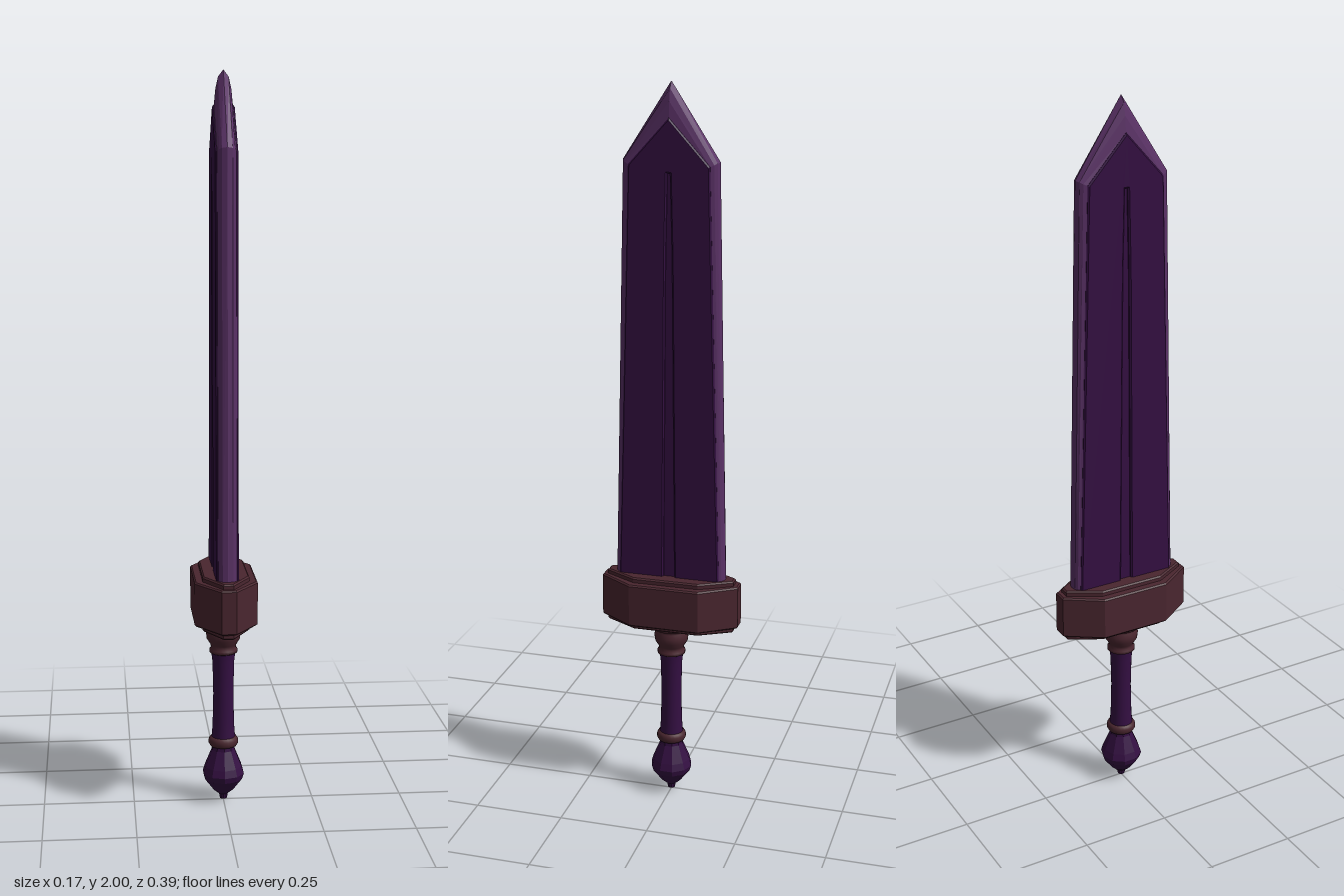
import * as THREE from 'three';

export function createModel() {
  const root = new THREE.Group();
  root.name = 'greatsword';
  const mat = (name, color, extra = {}) => {
    const m = new THREE.MeshStandardMaterial({ color, ...extra });
    m.name = name;
    return m;
  };
  const core = mat('dark purple', 0x340f42);
  const edge = mat('light purple', 0x5a3166, { side: THREE.DoubleSide });
  const bronze = mat('maroon bronze', 0x4a262f);
  const add = (name, geo, material, parent = root) => {
    const m = new THREE.Mesh(geo, material);
    m.name = name;
    parent.add(m);
    return m;
  };
  const shapeOf = (pts) => new THREE.Shape(pts.map(([a, b]) => new THREE.Vector2(a, b)));

  // Blade outlines as [z, y], from base up to the tip and down again
  const both = (half) => [...half, ...half.slice(0, -1).reverse().map(([z, y]) => [-z, y])];
  const outer = both([[0.156, 0.64], [0.13, 1.8], [0, 2]]);
  const inner = both([[0.142, 0.64], [0.109, 1.79], [0, 1.91]]);

  const blade = new THREE.Group();
  blade.name = 'blade';
  root.add(blade);

  // Sharpened rim: strips from the inner outline over a rounded shoulder to the outer one
  const steps = [[0, 0.025], [0.45, 0.021], [0.8, 0.014], [1, 0]];
  const section = [...steps, ...steps.slice(0, -1).reverse().map(([t, x]) => [t, -x])];
  const pos = [];
  for (let i = 0; i < outer.length - 1; i++) {
    for (let j = 0; j < section.length - 1; j++) {
      const p = (a, b) => {
        const [t, x] = section[b];
        return [x, inner[a][1] + (outer[a][1] - inner[a][1]) * t,
          inner[a][0] + (outer[a][0] - inner[a][0]) * t];
      };
      const a = p(i, j), b = p(i + 1, j), c = p(i + 1, j + 1), d = p(i, j + 1);
      pos.push(...a, ...d, ...b, ...b, ...d, ...c);
    }
  }
  const rim = new THREE.BufferGeometry();
  rim.setAttribute('position', new THREE.Float32BufferAttribute(pos, 3));
  rim.computeVertexNormals();
  add('bladeEdge', rim, edge, blade);

  // Extrusion across the blade thickness, centred on x = 0
  const slab = (shape, half, bevel) => {
    const g = new THREE.ExtrudeGeometry(shape, {
      depth: 2 * (half - bevel), bevelEnabled: bevel > 0, bevelThickness: bevel,
      bevelSize: bevel, bevelOffset: -bevel, bevelSegments: 1,
    });
    g.translate(0, 0, -(half - bevel));
    return g.rotateY(-Math.PI / 2);
  };

  // Blade body with a slender fuller cut through, floored by a thinner plate
  const fuller = [[-0.016, 0.65], [0.016, 0.65], [0.009, 1.55], [0.004, 1.77], [-0.004, 1.77], [-0.009, 1.55]];
  const body = shapeOf(inner);
  body.holes.push(new THREE.Path(fuller.map(([a, b]) => new THREE.Vector2(a, b))));
  add('bladeBody', slab(body, 0.03, 0.004), core, blade);
  add('fullerFloor', slab(shapeOf(fuller.map(([a, b]) => [a * 1.4, b])), 0.022, 0), core, blade);

  // Guard: stacked eight-sided plates
  const plate = (name, w, nw, l, nl, y0, y1) => {
    const s = shapeOf([[w, -l], [w, l], [nw, nl], [-nw, nl], [-w, l], [-w, -l], [-nw, -nl], [nw, -nl]]);
    const b = 0.004;
    const g = new THREE.ExtrudeGeometry(s, {
      depth: y1 - y0 - 2 * b, bevelThickness: b, bevelSize: b, bevelOffset: -b, bevelSegments: 1,
    });
    g.rotateX(-Math.PI / 2).translate(0, y0 + b, 0);
    add(name, g, bronze);
  };
  plate('guard', 0.085, 0.02, 0.098, 0.194, 0.53, 0.652);
  plate('guardTopStep', 0.063, 0.014, 0.092, 0.18, 0.64, 0.666);
  plate('guardBottomStep', 0.063, 0.014, 0.092, 0.18, 0.514, 0.54);

  // Turned hilt parts, profiles as [radius, y] from bottom to top
  const turned = (name, pts, material, sides = 24) => {
    let g = new THREE.LatheGeometry(pts.map(([r, y]) => new THREE.Vector2(r, y)), sides);
    if (sides < 16) {
      g = g.toNonIndexed();
      g.computeVertexNormals();
    }
    return add(name, g, material);
  };
  turned('collar', [[0.03, 0.425], [0.039, 0.43], [0.039, 0.438], [0.034, 0.443], [0.036, 0.452], [0.046, 0.468],
    [0.048, 0.485], [0.043, 0.496], [0.043, 0.502], [0.053, 0.506], [0.053, 0.518]], bronze);
  turned('grip', [[0.033, 0.18], [0.03, 0.22], [0.028, 0.31], [0.03, 0.4], [0.034, 0.435]], core);
  turned('pommelRing', [[0.03, 0.158], [0.037, 0.16], [0.041, 0.167], [0.041, 0.177], [0.037, 0.184], [0.03, 0.187]], bronze);
  turned('pommel', [[0, 0], [0.01, 0.004], [0.013, 0.018], [0.028, 0.03], [0.054, 0.064], [0.059, 0.08],
    [0.053, 0.1], [0.033, 0.148], [0.031, 0.165]], core, 10);

  return root;
}
